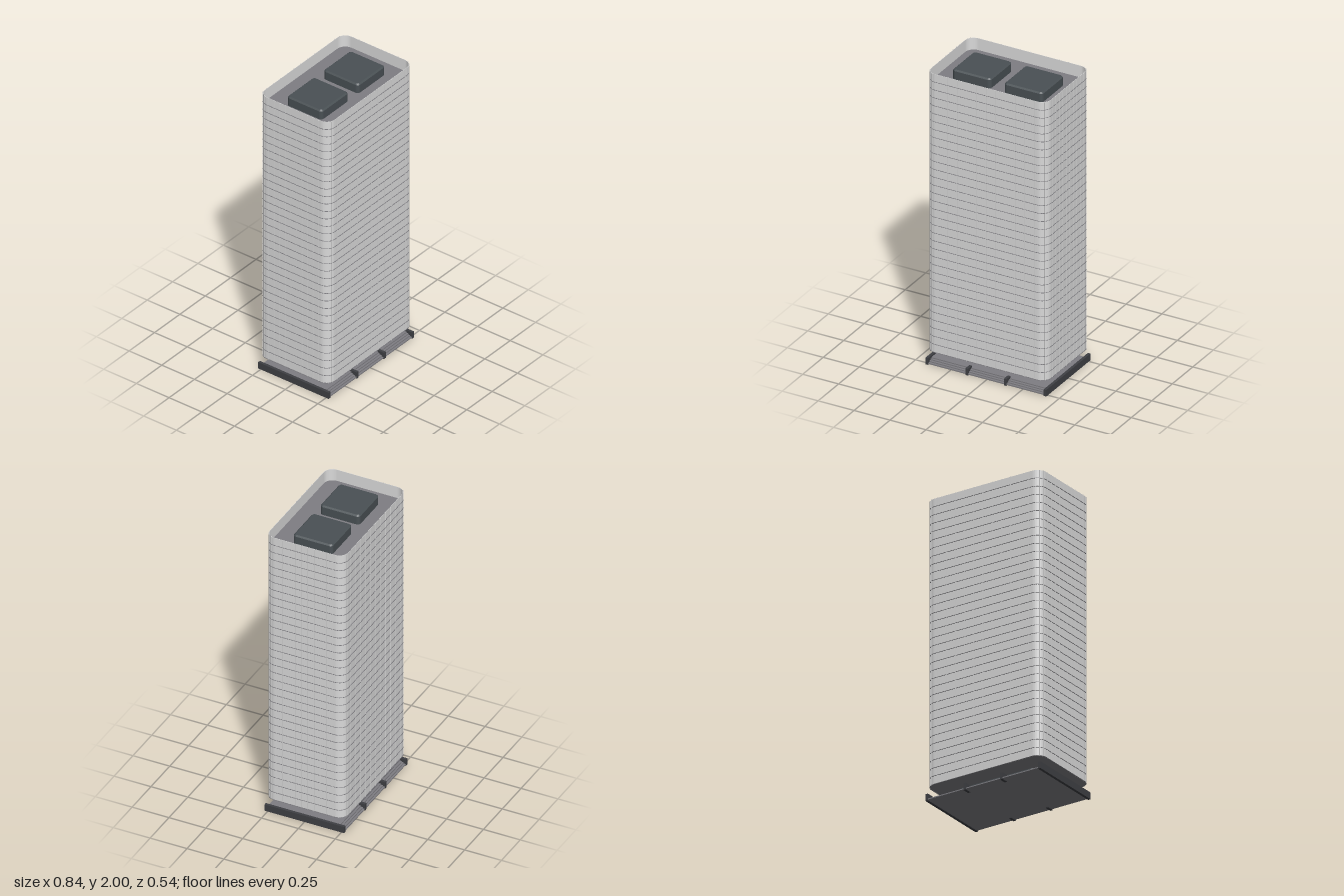
import * as THREE from 'three';
import { mergeGeometries } from 'three/addons/utils/BufferGeometryUtils.js';

const mat = (name, color) => {
  const m = new THREE.MeshStandardMaterial({ color });
  m.name = name;
  return m;
};

// Rounded rectangle, half width a, half depth b, corner radius r
function outline(a, b, r, Type = THREE.Shape) {
  const s = new Type();
  s.absarc(a - r, b - r, r, 0, Math.PI / 2);
  s.absarc(-a + r, b - r, r, Math.PI / 2, Math.PI);
  s.absarc(-a + r, -b + r, r, Math.PI, Math.PI * 1.5);
  s.absarc(a - r, -b + r, r, Math.PI * 1.5, Math.PI * 2);
  s.closePath();
  return s;
}

// Upright extrusion of a plan shape from y0 to y1
function prism(shape, y0, y1, bevel = 0) {
  const g = new THREE.ExtrudeGeometry(shape, {
    depth: y1 - y0 - 2 * bevel, curveSegments: 6, bevelEnabled: bevel > 0,
    bevelSize: bevel, bevelThickness: bevel, bevelOffset: -bevel, bevelSegments: 1,
  });
  return g.rotateX(-Math.PI / 2).translate(0, y0 + bevel, 0);
}

function ring(a, b, r, t, y0, y1) {
  const s = outline(a, b, r);
  s.holes.push(outline(a - t, b - t, r - t, THREE.Path));
  return prism(s, y0, y1);
}

export function createModel() {
  const group = new THREE.Group();
  const facadeMat = mat('pale facade', 0xdadada);
  const greyMat = mat('roof grey', 0x7f7e83);
  const plantMat = mat('slate', 0x495054);
  const darkMat = mat('dark base', 0x3f4044);
  const doorMat = mat('entrance panel', 0xdce0dc);
  const add = (name, geo, m) => {
    const mesh = new THREE.Mesh(geo, m);
    mesh.name = name;
    group.add(mesh);
    return mesh;
  };
  const box = (w, h, d, x, y, z) => new THREE.BoxGeometry(w, h, d).translate(x, y, z);

  const A = 0.42, B = 0.27, R = 0.065, Y0 = 0.096, Y1 = 2, D = 0.004;

  // Tower shell, open at the top as a parapet
  add('facade', ring(A - D, B - D, R - D, 0.002, Y0, Y1), facadeMat);
  add('roof', prism(outline(A - 0.005, B - 0.005, R - 0.005), 1.9, 1.92), greyMat);
  add('soffit', prism(outline(A - 0.005, B - 0.005, R - 0.005), Y0, Y0 + 0.01), greyMat);

  // Thin ledge at every floor
  const floors = 35, pitch = (Y1 - Y0) / floors, ledges = [];
  for (let i = 0; i < floors; i++) {
    const y = Y0 + i * pitch;
    ledges.push(ring(A, B, R, D + 0.001, y, y + 0.002));
  }
  add('floorLedges', mergeGeometries(ledges), greyMat);

  // Slim mullions along the straight sides and around the corners
  const mullions = [], h = Y1 - Y0, yc = (Y0 + Y1) / 2, t = 0.003, depth = D + 0.001;
  for (const s of [-1, 1]) {
    for (let i = -5; i <= 5; i++) mullions.push(box(t, h, depth, i * 0.067, yc, s * (B - depth / 2)));
    for (let i = -4.5; i <= 4.5; i++) mullions.push(box(depth, h, t, s * (A - depth / 2), yc, i * 0.0425));
    for (const q of [-1, 1]) {
      for (const deg of [22, 45, 68]) {
        const a = THREE.MathUtils.degToRad(deg), r = R - depth / 2;
        const g = new THREE.BoxGeometry(depth, h, t).rotateY(-a * s * q);
        mullions.push(g.translate(s * (A - R + r * Math.cos(a)), yc, q * (B - R + r * Math.sin(a))));
      }
    }
  }
  add('mullions', mergeGeometries(mullions), facadeMat);

  // Two rooftop plant rooms with chamfered tops
  for (const s of [-1, 1]) {
    add('rooftopPlantRoom', prism(outline(0.134, 0.134, 0.022), 1.91, 1.985, 0.009), plantMat)
      .position.x = s * 0.18;
  }

  // Recessed lobby with pale entrance panels
  add('lobby', prism(outline(0.27, 0.13, 0.02), 0.03, Y0 + 0.005), plantMat);
  for (const s of [-1, 1]) add('entrance', box(0.15, 0.034, 0.006, 0, 0.049, s * 0.131), doorMat);

  // Stepped plinth, rising towards the lobby at front and back
  const steps = 4, rise = 0.007;
  for (let i = 0; i < steps; i++) {
    add('plinthStep', box(0.82, rise, 0.536 - i * 0.026, 0, 0.006 + rise * (i + 0.5), 0), greyMat);
  }

  // End walls and short kerbs beside the steps
  for (const s of [-1, 1]) {
    add('endWall', box(0.018, 0.045, 0.54, s * 0.411, 0.0225, 0), darkMat);
    for (const q of [-1, 1]) add('kerb', box(0.018, 0.045, 0.05, s * 0.134, 0.0225, q * 0.245), darkMat);
  }
  return group;
}
